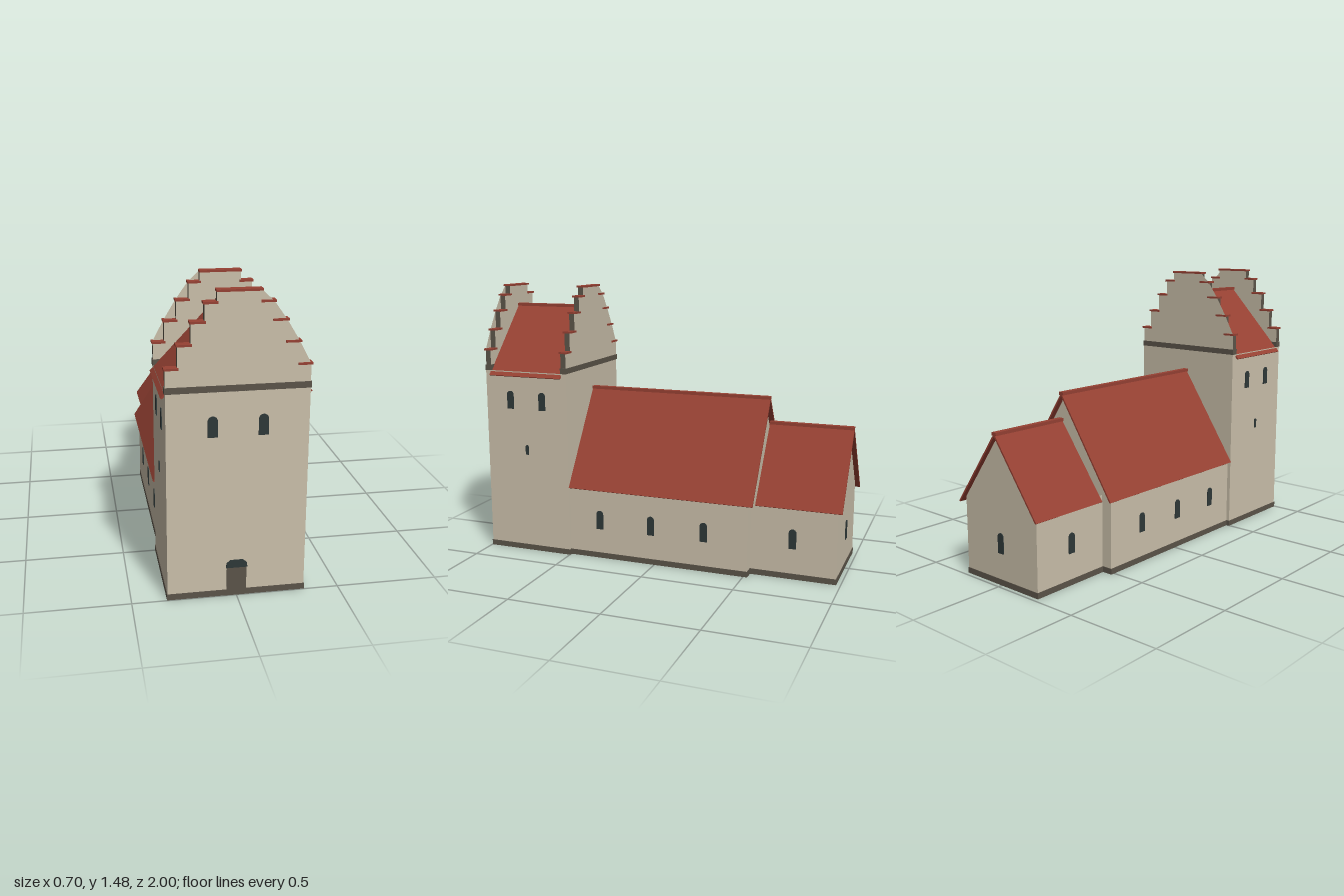
import * as THREE from 'three';

const mat = (name, color, side = THREE.FrontSide) => {
  const m = new THREE.MeshStandardMaterial({ color, side });
  m.name = name;
  return m;
};

export function createModel() {
  const plaster = mat('plaster', 0xcabfaa, THREE.DoubleSide);
  const tile = mat('roofTile', 0x964133);
  const stone = mat('darkStone', 0x5b5449);
  const glass = mat('darkGlass', 0x2e3838);

  const model = new THREE.Group();
  model.name = 'church';

  const add = (parent, name, geometry, material, x = 0, y = 0, z = 0, ry = 0) => {
    const mesh = new THREE.Mesh(geometry, material);
    mesh.name = name;
    mesh.position.set(x, y, z);
    mesh.rotation.y = ry;
    parent.add(mesh);
    return mesh;
  };
  const polygon = (pts) => new THREE.Shape(pts.map(([x, y]) => new THREE.Vector2(x, y)));
  const extrude = (shape, depth) =>
    new THREE.ExtrudeGeometry(shape, { depth, bevelEnabled: false, curveSegments: 8 });

  // Hollow walls, open at the bottom, with a stone plinth around the foot
  function walls(name, w, z0, z1, eave, ridge) {
    const g = new THREE.Group();
    g.name = name;
    const length = z1 - z0, mid = (z0 + z1) / 2;
    const end = new THREE.ShapeGeometry(polygon([[-w, 0], [w, 0], [w, eave], [0, ridge], [-w, eave]]));
    add(g, 'frontWall', end, plaster, 0, 0, z1);
    add(g, 'backWall', end, plaster, 0, 0, z0, Math.PI);
    for (const s of [-1, 1]) {
      add(g, 'sideWall', new THREE.PlaneGeometry(length, eave), plaster, s * w, eave / 2, mid, s * Math.PI / 2);
    }
    const rect = (a, b) => [[-a, -b], [a, -b], [a, b], [-a, b]];
    const ring = polygon(rect(w + 0.003, length / 2 + 0.003));
    ring.holes.push(polygon(rect(w - 0.014, length / 2 - 0.014)));
    add(g, 'plinth', extrude(ring, 0.03).rotateX(-Math.PI / 2), stone, 0, 0, mid);
    model.add(g);
  }

  // Thin pitched roof with a ridge tile
  function roof(name, w, z0, z1, eave, ridge) {
    const g = new THREE.Group();
    g.name = name;
    const t = 0.016;
    const chevron = polygon([[w, eave], [0, ridge], [-w, eave], [-w + 0.008, eave - 0.004], [0, ridge - t], [w - 0.008, eave - 0.004]]);
    add(g, 'roofSlopes', extrude(chevron, z1 - z0), tile, 0, 0, z0);
    add(g, 'ridgeTile', new THREE.BoxGeometry(0.03, 0.016, z1 - z0), tile, 0, ridge - 0.003, (z0 + z1) / 2);
    model.add(g);
  }

  // Round-headed thin plate
  function archShape(w, h) {
    const s = new THREE.Shape();
    s.moveTo(-w / 2, 0);
    s.lineTo(w / 2, 0);
    s.lineTo(w / 2, h - w / 2);
    s.absarc(0, h - w / 2, w / 2, 0, Math.PI);
    s.lineTo(-w / 2, 0);
    return s;
  }
  const plate = (name, w, h, x, y, z, ry) => add(model, name, extrude(archShape(w, h), 0.004), glass, x, y, z, ry);

  // Main bodies
  walls('tower', 0.33, 0.5, 0.995, 1.02, 1.021);
  walls('nave', 0.312, -0.52, 0.498, 0.42, 0.895);
  walls('chancel', 0.255, -0.975, -0.522, 0.41, 0.76);
  roof('towerRoof', 0.348, 0.53, 0.965, 0.995, 1.365);
  roof('naveRoof', 0.338, -0.55, 0.495, 0.39, 0.905);
  roof('chancelRoof', 0.282, -1, -0.55, 0.385, 0.772);

  // Stepped gables on the tower, local front facing +z
  const stepX = [0.33, 0.275, 0.215, 0.155, 0.1];
  const stepY = [1.13, 1.235, 1.335, 1.42, 1.472];
  function steppedGable(name, z, ry) {
    const g = new THREE.Group();
    g.name = name;
    g.position.z = z;
    g.rotation.y = ry;
    const right = [[0.33, 1.02]];
    stepX.forEach((x, i) => {
      if (i) right.push([x, stepY[i - 1]]);
      right.push([x, stepY[i]]);
    });
    const left = right.map(([x, y]) => [-x, y]).reverse();
    add(g, 'gableWall', extrude(polygon([...right, ...left]), 0.03), [plaster, stone], 0, 0, -0.015);
    // Stone band on both faces
    add(g, 'band', new THREE.BoxGeometry(0.668, 0.03, 0.036), stone, 0, 1.035, 0);
    // Tile caps on each step
    for (let i = 0; i < 4; i++) {
      const inner = stepX[i + 1] - 0.006, outer = stepX[i] + 0.006;
      for (const s of [-1, 1]) {
        add(g, 'stepCap', new THREE.BoxGeometry(outer - inner, 0.01, 0.046), tile,
          s * (inner + outer) / 2, stepY[i] + 0.004, 0);
      }
      // Sloping plaster infill between steps, on the outer face of one side
      const fill = polygon([[stepX[i], stepY[i]], [stepX[i + 1], stepY[i + 1]], [stepX[i + 1], stepY[i]]]);
      add(g, 'stepInfill', new THREE.ShapeGeometry(fill), plaster, 0, 0, 0.015);
    }
    add(g, 'topCap', new THREE.BoxGeometry(0.206, 0.01, 0.046), tile, 0, 1.475, 0);
    model.add(g);
  }
  steppedGable('frontGable', 0.977, 0);
  steppedGable('rearGable', 0.515, Math.PI);

  // Windows
  for (const s of [-1, 1]) {
    const ry = s * Math.PI / 2;
    plate('belfryWindow', 0.046, 0.1, s * 0.117, 0.808, 0.995, 0);
    for (const z of [0.845, 0.65]) plate('belfrySideWindow', 0.04, 0.1, s * 0.33, 0.81, z, ry);
    plate('towerSlit', 0.018, 0.055, s * 0.33, 0.555, 0.75, ry);
    for (const z of [0.32, 0.02, -0.28]) plate('naveWindow', 0.04, 0.105, s * 0.312, 0.165, z, ry);
    plate('chancelWindow', 0.04, 0.105, s * 0.255, 0.165, -0.745, ry);
  }
  plate('eastWindow', 0.04, 0.105, 0, 0.165, -0.975, Math.PI);

  // Door with a dark arched head
  add(model, 'door', new THREE.BoxGeometry(0.094, 0.145, 0.008), stone, 0, 0.0725, 0.995);
  const head = polygon([[-0.052, 0], [0.052, 0], [0.048, 0.025], [0.03, 0.04], [-0.03, 0.04], [-0.048, 0.025]]);
  add(model, 'doorHead', extrude(head, 0.004), glass, 0, 0.145, 0.995);

  return model;
}
